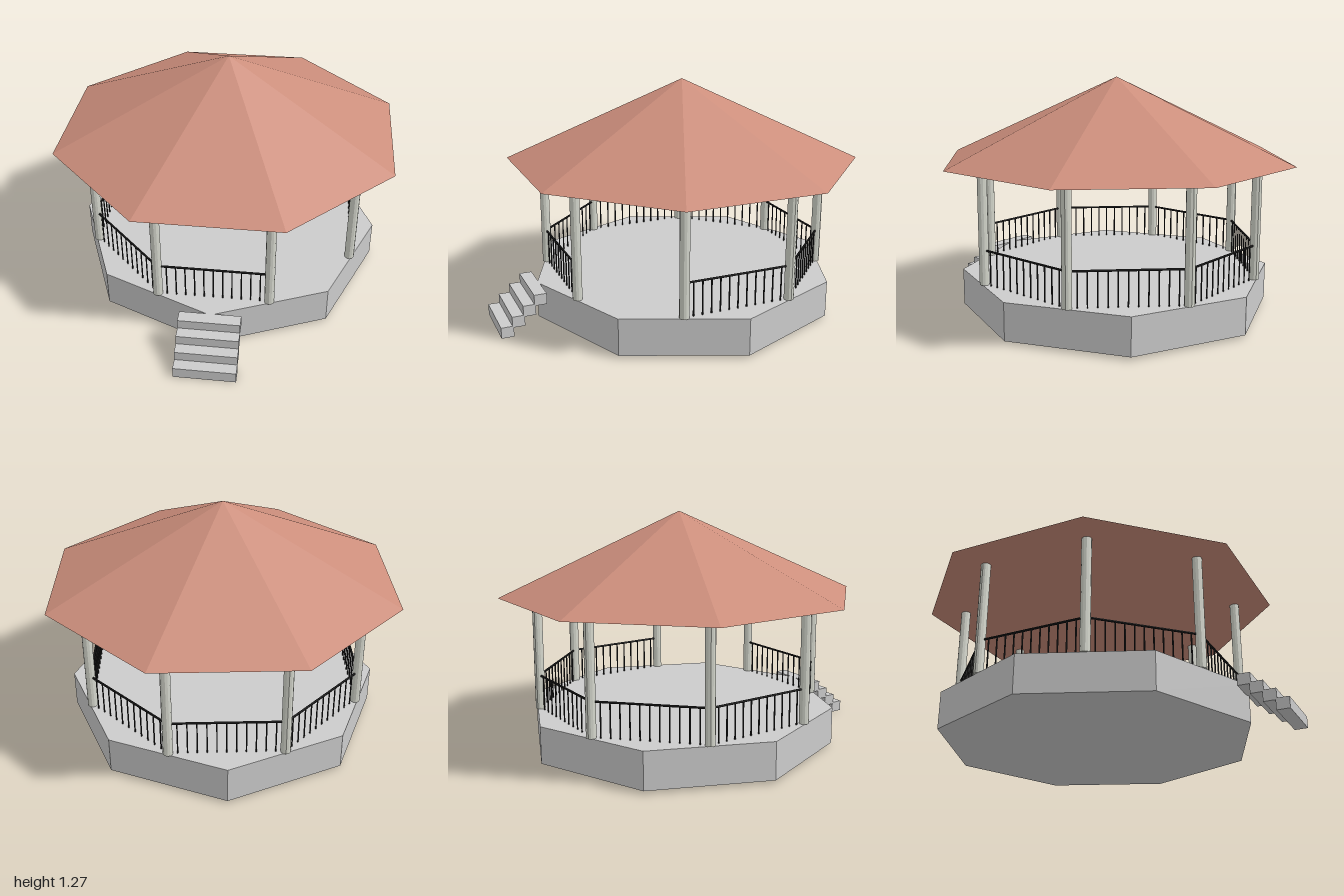
import * as THREE from 'three';

const SIDES = 8, STEP = Math.PI / 4;
const FLOOR = 0.215, EAVE = 0.83, RAIL = 0.4, CENTRE_Z = -0.095;

const material = (color) => new THREE.MeshStandardMaterial({ color, flatShading: true });

function addMesh(parent, name, geometry, mat, x = 0, y = 0, z = 0) {
  const mesh = new THREE.Mesh(geometry, mat);
  mesh.name = name;
  mesh.position.set(x, y, z);
  parent.add(mesh);
  return mesh;
}

export function createModel() {
  const model = new THREE.Group();
  model.name = 'gazebo';
  const stone = material(0xcccccc);
  const postPaint = material(0xd4d6cc);
  const iron = material(0x222222);
  const tile = material(0xcc8e7c);

  const pavilion = new THREE.Group();
  pavilion.name = 'pavilion';
  pavilion.position.z = CENTRE_Z;
  model.add(pavilion);

  // Octagonal platform, one corner facing the front
  addMesh(pavilion, 'platform', new THREE.CylinderGeometry(0.853, 0.853, 0.2, SIDES), stone, 0, FLOOR - 0.1);

  // Octagonal pyramid roof, one flat side facing the front
  const roofHeight = 1.275 - EAVE;
  const roof = addMesh(pavilion, 'roof', new THREE.ConeGeometry(0.976, roofHeight, SIDES), tile, 0, EAVE + roofHeight / 2);
  roof.rotation.y = STEP / 2;

  // Posts under the roof corners
  const postRadius = 0.774;
  const postHeight = EAVE - FLOOR;
  const postGeometry = new THREE.CylinderGeometry(0.026, 0.026, postHeight, 12);
  for (let i = 0; i < SIDES; i++) {
    const a = (i + 0.5) * STEP;
    addMesh(pavilion, 'post', postGeometry, postPaint,
      postRadius * Math.sin(a), FLOOR + postHeight / 2, postRadius * Math.cos(a));
  }

  // Railings on every side but the open front-left one
  const span = 2 * postRadius * Math.sin(STEP / 2);
  const apothem = postRadius * Math.cos(STEP / 2);
  const railGeometry = new THREE.CylinderGeometry(0.006, 0.006, span, 8).rotateZ(Math.PI / 2);
  const balusterHeight = RAIL - FLOOR;
  const balusterGeometry = new THREE.CylinderGeometry(0.004, 0.004, balusterHeight, 6);
  const gaps = 12;
  for (let i = 0; i < SIDES; i++) {
    if (i === 1) continue;
    const railing = new THREE.Group();
    railing.name = 'railing';
    railing.rotation.y = i * STEP;
    pavilion.add(railing);
    addMesh(railing, 'handrail', railGeometry, iron, 0, RAIL, apothem);
    for (let j = 1; j < gaps; j++) {
      addMesh(railing, 'baluster', balusterGeometry, iron,
        (j / gaps - 0.5) * span, FLOOR + balusterHeight / 2, apothem);
    }
  }

  // Four block steps climbing to the front corner of the platform
  const stairs = new THREE.Group();
  stairs.name = 'stairs';
  model.add(stairs);
  const stepGeometry = new THREE.BoxGeometry(0.325, 0.06, 0.068);
  for (let i = 0; i < 4; i++) {
    addMesh(stairs, 'step', stepGeometry, stone, 0, 0.03 + i * 0.0517, 0.966 - i * 0.061);
  }

  return model;
}
